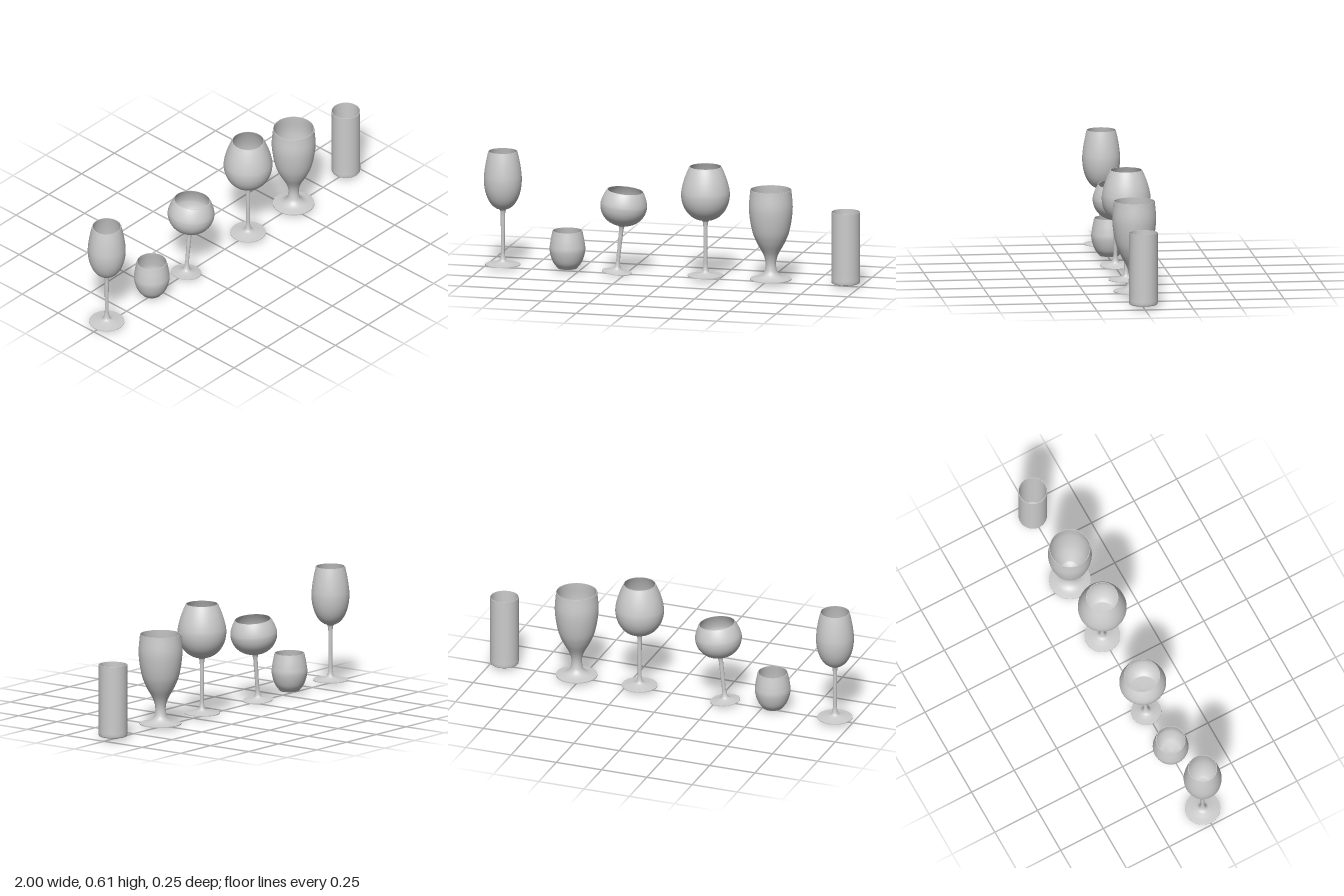
import * as THREE from 'three';
import { mergeGeometries } from 'three/addons/utils/BufferGeometryUtils.js';

const SEGMENTS = 64;
const WALL = 0.003;
const GROUND = 0.015;
const material = new THREE.MeshStandardMaterial({ color: 0xcccccc, side: THREE.DoubleSide });

// Smooth outline through [radius, height] points
function smooth(points) {
  const curve = new THREE.CatmullRomCurve3(points.map(([r, y]) => new THREE.Vector3(r, y, 0)), false, 'centripetal');
  return curve.getPoints(points.length * 6).map(p => new THREE.Vector2(p.x, p.y));
}

// Flared foot and slender stem, ending where the bowl begins
function stemPoints(footR, bottom, join) {
  return [
    [footR, bottom + 0.004],
    [footR * 0.55, bottom + 0.01],
    [0.022, bottom + 0.019],
    [0.012, bottom + 0.045],
    [0.01, bottom + 0.105],
    [0.011, join - 0.08],
    [0.0125, join - 0.02],
    [0.018, join - 0.002],
  ];
}

// Elliptical cup up to the belly, then a gentle taper to the rim
function bowlPoints(join, bellyR, bellyY, rimR, rimY) {
  const points = [];
  const startR = 0.013;
  for (let i = 1; i <= 6; i++) {
    const a = (i / 6) * Math.PI / 2;
    points.push([startR + (bellyR - startR) * Math.sin(a), bellyY - (bellyY - join) * Math.cos(a)]);
  }
  for (let i = 1; i <= 5; i++) {
    const t = i / 5;
    points.push([bellyR - (bellyR - rimR) * t ** 1.6, bellyY + (rimY - bellyY) * t]);
  }
  return points;
}

// Turned glass: each section is its own lathe so the rim and foot edges stay sharp
function makeGlass(name, x, floor, profile, bottom = GROUND) {
  const outside = smooth(profile);
  const [footR, footY] = profile[0];
  const rim = outside[outside.length - 1];
  const inside = outside
    .filter(p => p.y > floor + WALL)
    .map(p => new THREE.Vector2(p.x - WALL, p.y))
    .reverse();
  inside.push(new THREE.Vector2(0, floor));

  const edge = new THREE.Vector2(footR, bottom);
  const sections = [
    [new THREE.Vector2(0, bottom), edge], // underside
    [edge, new THREE.Vector2(footR, footY)], // foot edge
    outside,
    [rim, inside[0]], // lip
    inside,
  ];
  const mesh = new THREE.Mesh(mergeGeometries(sections.map(s => new THREE.LatheGeometry(s, SEGMENTS))), material);
  mesh.name = name;
  mesh.position.x = x;
  return mesh;
}

function makeStemGlass(name, x, footR, bottom, join, bowl) {
  const profile = [...stemPoints(footR, bottom, join), ...bowlPoints(join, ...bowl)];
  return makeGlass(name, x, join + 0.014, profile, bottom);
}

export function createModel() {
  const group = new THREE.Group();
  group.name = 'drinkingGlasses';

  // Stemmed glasses: bowl is belly radius and height, rim radius and height
  group.add(makeStemGlass('tallWineGlass', -0.902, 0.091, GROUND, 0.308, [0.098, 0.465, 0.075, 0.613]));
  group.add(makeStemGlass('roundWineGlass', 0.177, 0.092, GROUND, 0.308, [0.126, 0.445, 0.083, 0.59]));

  // Goblet leaning to one side on the edge of its foot
  const leaning = makeStemGlass('leaningGoblet', -0.295, 0.078, 0, 0.25, [0.121, 0.357, 0.094, 0.434]);
  leaning.position.y = 0.008;
  leaning.rotation.z = -0.104;
  group.add(leaning);

  // Short-necked water goblet
  group.add(makeGlass('waterGoblet', 0.525, 0.15, [
    [0.107, 0.02], [0.06, 0.03], [0.037, 0.05], [0.028, 0.08], [0.028, 0.11], [0.038, 0.145],
    [0.074, 0.212], [0.096, 0.27], [0.113, 0.385], [0.106, 0.488],
  ]));

  // Tumblers without stems
  group.add(makeGlass('roundedTumbler', -0.558, 0.022, [
    [0.05, 0.016], [0.075, 0.05], [0.092, 0.11], [0.089, 0.15], [0.077, 0.213],
  ]));
  group.add(makeGlass('straightTumbler', 0.924, 0.022, [
    [0.065, 0.016], [0.072, 0.019], [0.074, 0.028], [0.074, 0.06], [0.074, 0.392],
  ]));
  return group;
}
